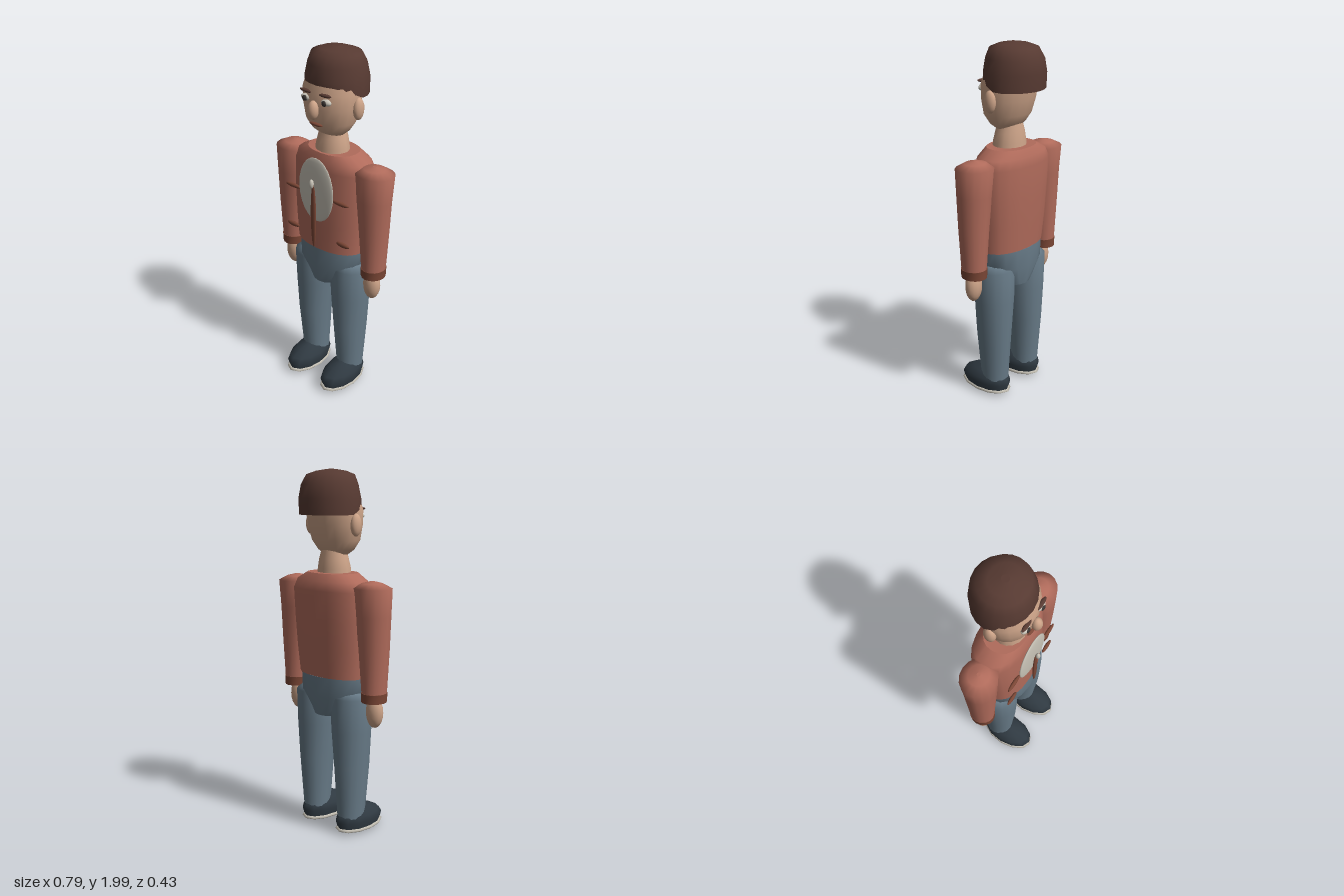
import * as THREE from 'three';

const paint = (name, color) => {
  const m = new THREE.MeshStandardMaterial({ color });
  m.name = name;
  return m;
};

// Closed skin through oval rings [y, halfWidth, zFront, zBack, centreX]; power < 1 squares the ovals
function loft(rings, sides = 16, power = 1, bend = null) {
  const pos = [], index = [];
  const bow = (v) => Math.sign(v) * Math.pow(Math.abs(v), power);
  const addRing = ([y, rx, zf, zb, cx = 0]) => {
    for (let i = 0; i < sides; i++) {
      const a = (i / sides) * Math.PI * 2;
      const p = new THREE.Vector3(cx + rx * bow(Math.sin(a)), y, (zf + zb) / 2 + ((zf - zb) / 2) * bow(Math.cos(a)));
      if (bend) bend(p);
      pos.push(p.x, p.y, p.z);
    }
  };
  rings.forEach(addRing);
  for (let r = 0; r < rings.length - 1; r++) {
    for (let i = 0; i < sides; i++) {
      const a = r * sides + i, b = r * sides + ((i + 1) % sides);
      index.push(a, b, b + sides, a, b + sides, a + sides);
    }
  }
  // End caps with their own corners, so their rims stay crisp
  [rings[0], rings[rings.length - 1]].forEach((ring, end) => {
    const s = pos.length / 3;
    addRing(ring);
    for (let i = 1; i < sides - 1; i++) {
      if (end) index.push(s, s + i, s + i + 1);
      else index.push(s, s + i + 1, s + i);
    }
  });
  const g = new THREE.BufferGeometry();
  g.setAttribute('position', new THREE.Float32BufferAttribute(pos, 3));
  g.setIndex(index);
  g.computeVertexNormals();
  return g;
}

export function createModel() {
  const skin = paint('skin', 0xcca388);
  const hairBrown = paint('hair brown', 0x573a32);
  const rust = paint('jacket rust', 0xb06b5b);
  const trim = paint('trim brown', 0x7a4635);
  const denim = paint('denim blue', 0x687b88);
  const shoeDark = paint('shoe dark', 0x2f3941);
  const cream = paint('cream', 0xc8c3b7);
  const pupilDark = paint('pupil dark', 0x3a3533);

  const model = new THREE.Group();
  model.name = 'standingMan';
  const add = (name, geometry, material, parent = model) => {
    const m = new THREE.Mesh(geometry, material);
    m.name = name;
    parent.add(m);
    return m;
  };
  const oval = (name, material, [x, y, z], [rx, ry, rz], w = 14, h = 10, parent = model) => {
    const m = add(name, new THREE.SphereGeometry(1, w, h), material, parent);
    m.position.set(x, y, z);
    m.scale.set(rx, ry, rz);
    return m;
  };

  // Head, neck and hair cap
  add('neck', loft([[1.42, 0.1, 0.07, -0.105], [1.48, 0.096, 0.066, -0.1], [1.53, 0.085, 0.055, -0.095], [1.58, 0.07, 0.045, -0.085]]), skin);
  add('head', loft([
    [1.555, 0.078, 0.045, -0.058], [1.58, 0.11, 0.078, -0.085], [1.63, 0.143, 0.108, -0.118],
    [1.71, 0.16, 0.12, -0.142], [1.79, 0.167, 0.12, -0.155], [1.87, 0.15, 0.09, -0.16],
  ], 20), skin);
  // The hairline rises towards the forehead
  const hairline = (p) => {
    if (p.y < 1.77) p.y += 0.065 * THREE.MathUtils.clamp((p.z + 0.055) / 0.14, 0, 1);
  };
  add('hair', loft([
    [1.765, 0.173, 0.107, -0.208], [1.85, 0.172, 0.108, -0.213], [1.92, 0.153, 0.1, -0.205],
    [1.972, 0.133, 0.078, -0.172], [1.99, 0.085, 0.035, -0.12], [2.0, 0.02, -0.02, -0.06],
  ], 20, 1, hairline), hairBrown);

  // Face
  oval('nose', skin, [0, 1.708, 0.13], [0.029, 0.05, 0.029]);
  oval('mouth', trim, [0, 1.627, 0.11], [0.046, 0.009, 0.012]);

  // Torso and hips
  add('jacket', loft([
    [0.9, 0.217, 0.112, -0.152], [1.05, 0.232, 0.114, -0.163], [1.2, 0.242, 0.112, -0.17],
    [1.37, 0.25, 0.102, -0.174], [1.42, 0.225, 0.094, -0.162], [1.46, 0.15, 0.08, -0.138],
  ], 20, 0.88), rust);
  add('hips', loft([[0.68, 0.1, 0.1, -0.135], [0.79, 0.205, 0.118, -0.156], [0.9, 0.213, 0.11, -0.155]], 16, 0.95), denim);

  // Shirt front and jacket fastenings
  oval('shirtFront', cream, [0, 1.257, 0.115], [0.122, 0.185, 0.014], 24, 12);
  oval('zip', trim, [0, 1.11, 0.137], [0.018, 0.19, 0.009]);
  oval('zipPull', cream, [0, 1.305, 0.15], [0.013, 0.026, 0.013]);

  for (const s of [1, -1]) {
    const side = s > 0 ? 'left' : 'right';
    const part = (name, ...rest) => oval(side + name, ...rest);

    // Eye, brow and ear
    part('Eye', cream, [s * 0.068, 1.757, 0.108], [0.031, 0.018, 0.018]);
    part('Pupil', pupilDark, [s * 0.066, 1.755, 0.121], [0.016, 0.015, 0.01]);
    part('Brow', hairBrown, [s * 0.065, 1.793, 0.112], [0.04, 0.009, 0.012]).rotation.z = s * 0.05;
    part('Ear', skin, [s * 0.165, 1.713, -0.026], [0.026, 0.059, 0.034]);

    // Pocket edges
    part('ChestSeam', trim, [s * 0.17, 1.23, 0.111], [0.056, 0.012, 0.011]);
    part('PocketSeam', trim, [s * 0.181, 0.985, 0.105], [0.045, 0.014, 0.011]);

    // Arm
    add(side + 'Sleeve', loft([
      [0.838, 0.066, 0.05, -0.09, s * 0.296], [1.06, 0.083, 0.06, -0.1, s * 0.293],
      [1.25, 0.097, 0.068, -0.11, s * 0.287], [1.395, 0.109, 0.071, -0.121, s * 0.284],
      [1.42, 0.06, 0.03, -0.08, s * 0.281], [1.432, 0.01, -0.015, -0.035, s * 0.281],
    ]), rust);
    add(side + 'Cuff', loft([[0.79, 0.066, 0.052, -0.092, s * 0.296], [0.84, 0.069, 0.053, -0.093, s * 0.296]]), trim);
    part('Hand', skin, [s * 0.293, 0.73, -0.012], [0.051, 0.088, 0.042]);

    // Leg
    add(side + 'Leg', loft([
      [0.1, 0.073, 0.058, -0.103, s * 0.134], [0.22, 0.081, 0.068, -0.111, s * 0.135],
      [0.4, 0.092, 0.084, -0.124, s * 0.136], [0.6, 0.109, 0.09, -0.131, s * 0.133],
      [0.79, 0.118, 0.094, -0.135, s * 0.131], [0.82, 0.085, 0.06, -0.1, s * 0.125],
    ]), denim);

    // Shoe with its highest point over the ankle
    const shoe = add(side + 'Shoe', loft([
      [0.035, 0.085, 0.195, -0.108], [0.075, 0.094, 0.207, -0.119], [0.105, 0.088, 0.185, -0.11],
      [0.135, 0.066, 0.13, -0.07], [0.156, 0.022, 0.07, 0.01],
    ], 12), shoeDark);
    shoe.position.x = s * 0.134;
    part('Sole', cream, [s * 0.134, 0.03, 0.045], [0.094, 0.024, 0.167], 12, 8);
  }

  // Rest the soles on the ground
  const box = new THREE.Box3().setFromObject(model);
  for (const child of model.children) child.position.y -= box.min.y;
  return model;
}
